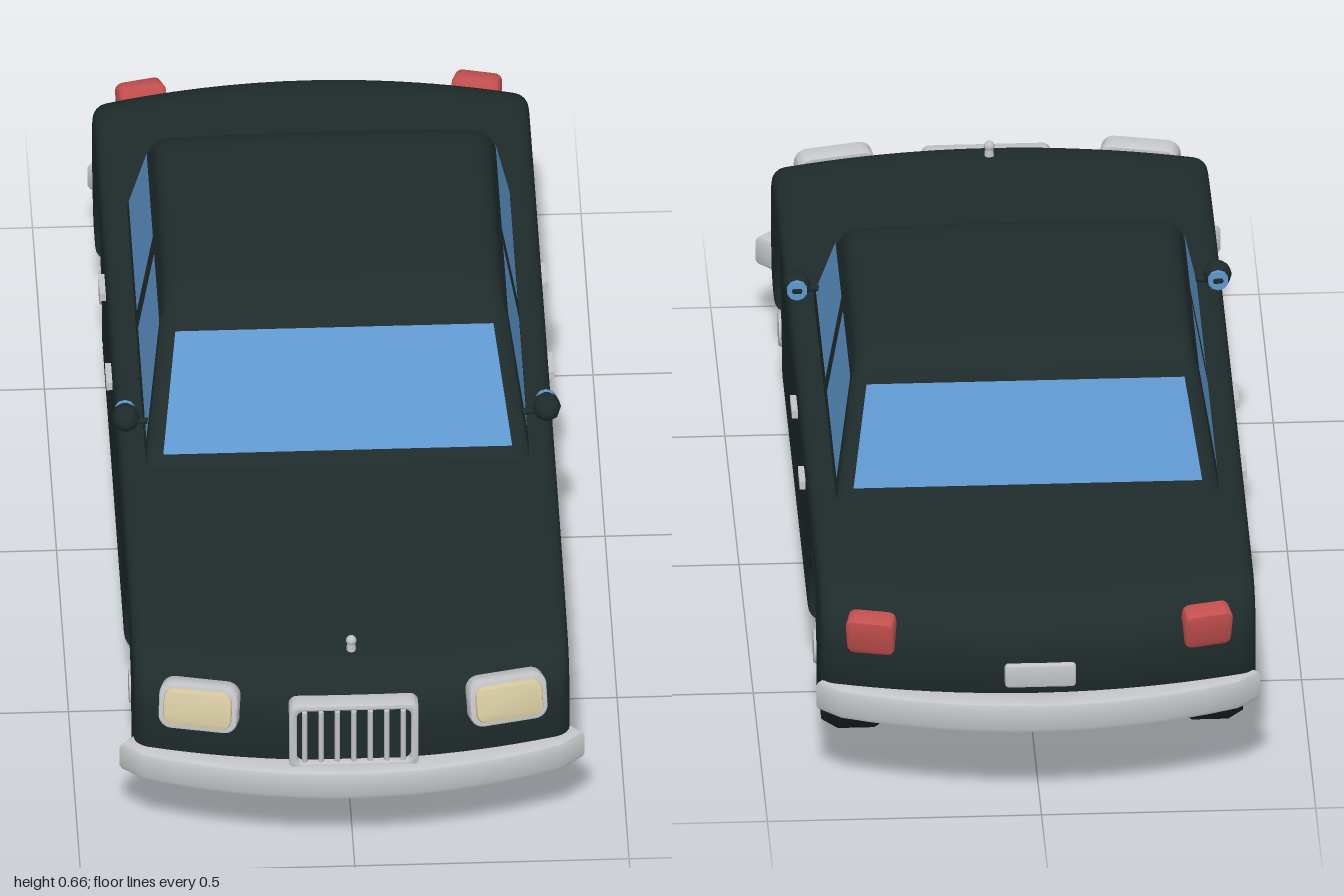
import * as THREE from 'three';
import { toCreasedNormals } from 'three/addons/utils/BufferGeometryUtils.js';

export function createModel() {
  const car = new THREE.Group();
  car.name = 'sedan';
  const mat = (name, color, side = THREE.FrontSide) => {
    const m = new THREE.MeshStandardMaterial({ color, side });
    m.name = name;
    return m;
  };
  const paint = mat('dark green paint', 0x1f2b2b);
  const rubber = mat('tyre rubber', 0x1b2525);
  const chrome = mat('chrome', 0xc3c5c7);
  const glass = mat('blue glass', 0x5f98cf, THREE.DoubleSide);
  const lampGlass = mat('headlight cream', 0xd6caa2);
  const red = mat('tail light red', 0xc4504f);

  const add = (name, geo, material, parent = car, x = 0, y = 0, z = 0) => {
    const m = new THREE.Mesh(geo, material);
    m.name = name;
    m.position.set(x, y, z);
    parent.add(m);
    return m;
  };

  // Move every vertex by a rule, then smooth all but sharp edges
  const warp = (geo, rule) => {
    const p = geo.attributes.position, v = new THREE.Vector3();
    for (let i = 0; i < p.count; i++) {
      rule(v.fromBufferAttribute(p, i));
      p.setXYZ(i, v.x, v.y, v.z);
    }
    return toCreasedNormals(geo, 0.6);
  };

  // Extrude a side profile (z, y) across the car from x0 to x1
  const acrossCar = (shape, x0, x1, thick, size, steps) => {
    const g = new THREE.ExtrudeGeometry(shape, {
      depth: x1 - x0 - 2 * thick, steps, curveSegments: 10, bevelEnabled: thick > 0,
      bevelThickness: thick, bevelSize: size, bevelOffset: -size, bevelSegments: 4,
    });
    return g.rotateY(-Math.PI / 2).translate(x1 - thick, 0, 0);
  };

  // Lower body: solid centre and two flanks with wheel arches
  const wheelZ = [-0.604, 0.63], hubY = 0.155, archR = 0.156;
  const bodyProfile = (arches) => {
    const s = new THREE.Shape(), drop = Math.asin((hubY - 0.125) / archR);
    s.moveTo(-0.86, 0.125);
    if (arches) for (const z of wheelZ) {
      s.lineTo(z - archR * Math.cos(drop), 0.125);
      s.absarc(z, hubY, archR, Math.PI + drop, -drop, true);
    }
    s.lineTo(0.84, 0.125);
    s.quadraticCurveTo(0.94, 0.13, 0.955, 0.2);
    s.lineTo(0.955, 0.29);
    s.quadraticCurveTo(0.95, 0.375, 0.85, 0.383);
    s.quadraticCurveTo(0.6, 0.4, 0.31, 0.402);
    s.lineTo(-0.53, 0.405);
    s.lineTo(-0.84, 0.402);
    s.quadraticCurveTo(-0.935, 0.4, -0.957, 0.32);
    s.quadraticCurveTo(-0.965, 0.24, -0.935, 0.19);
    s.quadraticCurveTo(-0.91, 0.13, -0.86, 0.125);
    return s;
  };
  const roundEnds = (v) => {
    const t = THREE.MathUtils.smoothstep(Math.abs(v.z), 0.6, 0.92);
    v.z -= Math.sign(v.z) * 0.4 * v.x * v.x * t;
  };
  add('bodyCentre', warp(acrossCar(bodyProfile(false), -0.25, 0.25, 0, 0, 10), roundEnds), paint);
  for (const [x0, x1] of [[0.2, 0.397], [-0.397, -0.2]]) {
    add('bodySide', warp(acrossCar(bodyProfile(true), x0, x1, 0.024, 0.022, 4), roundEnds), paint);
  }

  // Cabin with sloping sides and a crowned roof
  const cabin = new THREE.Shape();
  cabin.moveTo(-0.537, 0.38);
  cabin.lineTo(0.322, 0.38);
  cabin.lineTo(0.13, 0.62);
  cabin.quadraticCurveTo(0.1, 0.653, 0.05, 0.658);
  cabin.quadraticCurveTo(-0.14, 0.668, -0.34, 0.656);
  cabin.quadraticCurveTo(-0.4, 0.653, -0.42, 0.62);
  cabin.lineTo(-0.537, 0.38);
  const lean = (y) => 1 - 0.5 * (y - 0.4);
  add('cabin', warp(acrossCar(cabin, -0.35, 0.35, 0.035, 0.022, 8), (v) => {
    v.x *= lean(v.y);
    if (v.y > 0.61) v.y -= 0.08 * v.x * v.x;
  }), paint);

  // Windows: thin panes lying on the cabin faces
  const pane = (name, corners) => {
    const g = new THREE.BufferGeometry();
    g.setAttribute('position', new THREE.Float32BufferAttribute(corners.flat(), 3));
    g.setIndex([0, 1, 2, 0, 2, 3]);
    g.computeVertexNormals();
    add(name, g, glass);
  };
  const endPane = (name, low, high, zAt) => pane(name, [
    [-0.318, low, zAt(low)], [0.318, low, zAt(low)], [0.29, high, zAt(high)], [-0.29, high, zAt(high)],
  ]);
  endPane('windscreen', 0.425, 0.6, (y) => 0.315 - 0.8 * (y - 0.395));
  endPane('rearWindow', 0.43, 0.6, (y) => -0.535 + 0.4875 * (y - 0.395));
  const sideWindows = {
    frontSideWindow: [[0.252, 0.433], [0.12, 0.6], [-0.092, 0.6], [-0.092, 0.433]],
    rearSideWindow: [[-0.145, 0.433], [-0.145, 0.6], [-0.402, 0.6], [-0.484, 0.433]],
  };
  for (const side of [-1, 1]) for (const [name, pts] of Object.entries(sideWindows)) {
    pane(name, pts.map(([z, y]) => [side * (0.35 * lean(y) + 0.003), y, z]));
  }

  // Wheels and arch lips
  const tyreProfile = [[0.09, -0.06], [0.137, -0.06], [0.153, -0.033], [0.153, 0.033], [0.137, 0.06], [0.09, 0.06]]
    .map(([r, h]) => new THREE.Vector2(r, h));
  const tyreGeo = toCreasedNormals(new THREE.LatheGeometry(tyreProfile, 14), 0.5);
  for (const side of [-1, 1]) for (const z of wheelZ) {
    const wheel = new THREE.Group();
    wheel.name = 'wheel';
    wheel.position.set(side * 0.323, 0.153, z);
    wheel.rotation.z = -side * Math.PI / 2;
    car.add(wheel);
    add('tyre', tyreGeo, rubber, wheel);
    add('hubcap', new THREE.CylinderGeometry(0.097, 0.097, 0.122, 24), chrome, wheel);
    add('hubCentre', new THREE.CylinderGeometry(0.03, 0.037, 0.014, 16), chrome, wheel, 0, 0.066, 0);
    const lip = add('archLip', new THREE.TorusGeometry(0.169, 0.011, 6, 24, Math.PI), paint, car, side * 0.388, hubY, z);
    lip.rotation.y = Math.PI / 2;
  }

  // Curved bumpers
  const bumperShape = new THREE.Shape();
  bumperShape.moveTo(-0.395, 0.855);
  bumperShape.lineTo(-0.424, 0.885);
  bumperShape.lineTo(-0.38, 0.925);
  bumperShape.quadraticCurveTo(0, 1.075, 0.38, 0.925);
  bumperShape.lineTo(0.424, 0.885);
  bumperShape.lineTo(0.395, 0.855);
  bumperShape.quadraticCurveTo(0, 1.0, -0.395, 0.855);
  const bumper = (name, y, turn, width) => {
    const g = new THREE.ExtrudeGeometry(bumperShape, {
      depth: 0.04, curveSegments: 14, bevelThickness: 0.01, bevelSize: 0.01, bevelOffset: -0.01, bevelSegments: 2,
    });
    g.rotateX(Math.PI / 2).translate(0, 0.02, 0).scale(width, 1, 1);
    add(name, toCreasedNormals(g, 0.6), chrome, car, 0, y, 0).rotation.y = turn;
  };
  bumper('frontBumper', 0.181, 0, 1);
  bumper('rearBumper', 0.2, Math.PI, 0.955);

  // Rounded plates for lamps, grille and number plate
  const roundRect = (w, h, r, Type = THREE.Shape) => {
    const s = new Type(), a = w / 2, b = h / 2;
    s.absarc(a - r, b - r, r, 0, Math.PI / 2);
    s.absarc(r - a, b - r, r, Math.PI / 2, Math.PI);
    s.absarc(r - a, r - b, r, Math.PI, Math.PI * 1.5);
    s.absarc(a - r, r - b, r, Math.PI * 1.5, Math.PI * 2);
    s.closePath();
    return s;
  };
  const plate = (shape, depth) => toCreasedNormals(new THREE.ExtrudeGeometry(shape, {
    depth, curveSegments: 5, bevelThickness: 0.005, bevelSize: 0.005, bevelOffset: -0.005, bevelSegments: 2,
  }), 0.5);

  for (const side of [-1, 1]) {
    // Headlights
    const lamp = new THREE.Group();
    lamp.name = 'headlight';
    lamp.position.set(side * 0.277, 0.319, 0.913);
    lamp.rotation.set(-0.22, side * 0.22, 0, 'YXZ');
    car.add(lamp);
    add('headlightRim', plate(roundRect(0.146, 0.092, 0.025), 0.026), chrome, lamp);
    add('headlightLens', plate(roundRect(0.126, 0.073, 0.02), 0.03), lampGlass, lamp, 0, 0, 0.004);

    // Tail lights
    const tail = add('tailLight', plate(roundRect(0.088, 0.075, 0.015), 0.03), red, car, side * 0.302, 0.347, -0.9);
    tail.rotation.set(0.25, Math.PI - side * 0.24, 0, 'YXZ');

    // Door handles
    for (const z of [-0.052, -0.328]) {
      add('doorHandle', new THREE.BoxGeometry(0.016, 0.016, 0.062), chrome, car, side * 0.4, 0.354, z);
    }

    // Door mirrors
    const stalk = add('mirrorStalk', new THREE.CylinderGeometry(0.006, 0.006, 0.06, 8), paint, car, side * 0.352, 0.452, 0.222);
    stalk.rotation.z = Math.PI / 2;
    const shell = new THREE.SphereGeometry(0.026, 10, 6).scale(1, 0.95, 1.2);
    add('mirrorShell', shell, paint, car, side * 0.384, 0.461, 0.222);
    const face = add('mirrorGlass', new THREE.CylinderGeometry(0.019, 0.019, 0.008, 10), glass, car, side * 0.384, 0.461, 0.198);
    face.rotation.x = Math.PI / 2;
  }

  // Grille
  const frame = roundRect(0.236, 0.14, 0.015);
  frame.holes.push(roundRect(0.208, 0.116, 0.014, THREE.Path));
  add('grilleFrame', plate(frame, 0.03), chrome, car, 0, 0.274, 0.938);
  add('grilleBacking', new THREE.BoxGeometry(0.215, 0.125, 0.03), paint, car, 0, 0.272, 0.944);
  for (let i = -3; i <= 3; i++) {
    add('grilleBar', new THREE.CylinderGeometry(0.005, 0.005, 0.112, 8), chrome, car, i * 0.03, 0.27, 0.964);
  }

  // Bonnet ornament and rear number plate
  add('bonnetOrnament', new THREE.CylinderGeometry(0.007, 0.01, 0.036, 8), chrome, car, 0, 0.388, 0.85);
  add('ornamentTop', new THREE.SphereGeometry(0.01, 8, 6), chrome, car, 0, 0.403, 0.85);
  add('numberPlate', plate(roundRect(0.13, 0.046, 0.008), 0.012), chrome, car, 0, 0.272, -0.952).rotation.y = Math.PI;

  return car;
}
